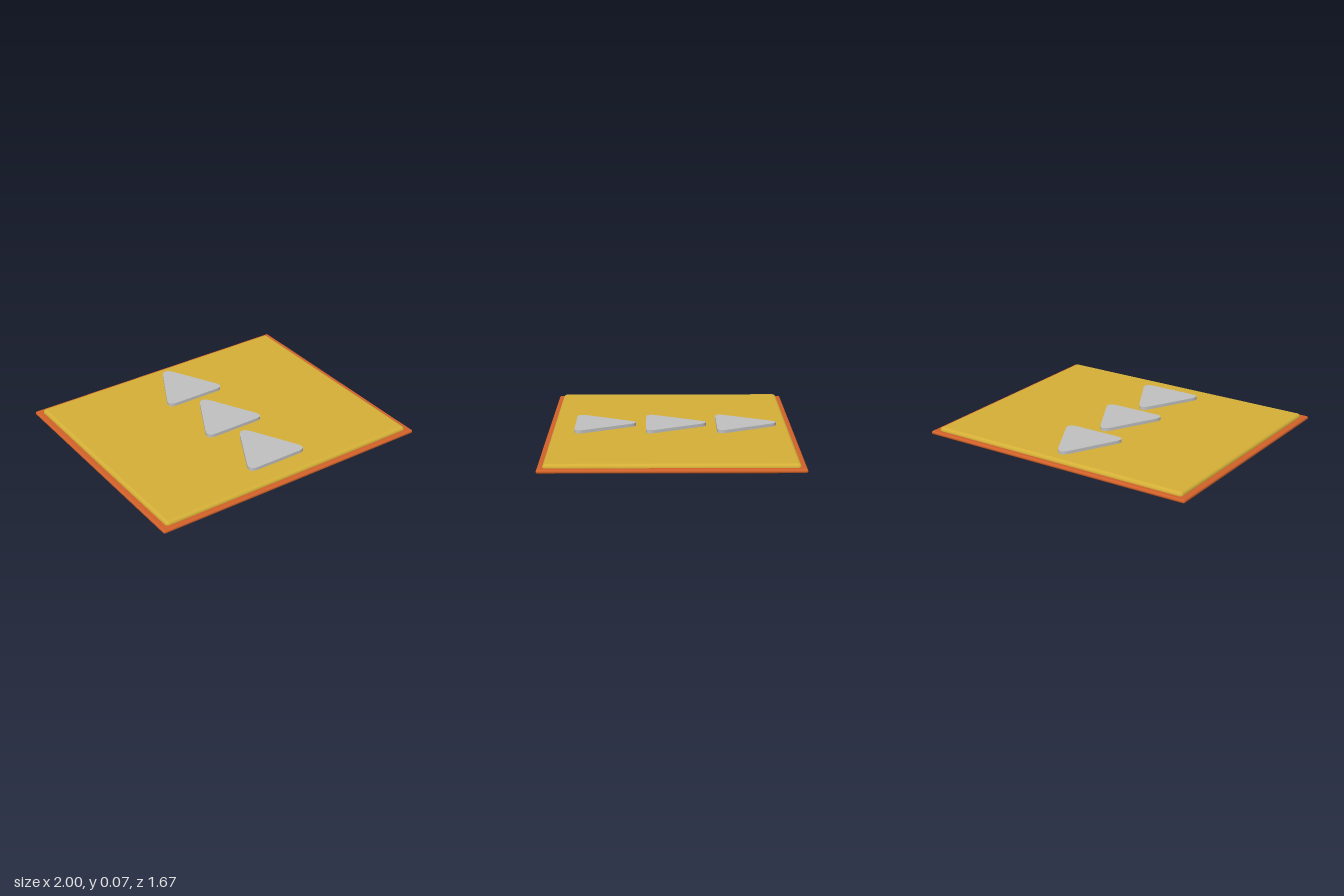
import * as THREE from 'three';
import { RoundedBoxGeometry } from 'three/addons/geometries/RoundedBoxGeometry.js';
import { toCreasedNormals } from 'three/addons/utils/BufferGeometryUtils.js';

const orange = new THREE.MeshStandardMaterial({ name: 'orange', color: 0xd2622a });
const gold = new THREE.MeshStandardMaterial({ name: 'gold', color: 0xd4af37 });
const silver = new THREE.MeshStandardMaterial({ name: 'silver', color: 0xc0c0c0 });

// Flat slab with rounded edges, resting at height y
function slab(name, w, h, d, radius, y, material) {
  const mesh = new THREE.Mesh(new RoundedBoxGeometry(w, h, d, 4, radius), material);
  mesh.name = name;
  mesh.position.y = y + h / 2;
  return mesh;
}

// Triangle with softened corners, its tip pointing to the back
function arrowGeometry(depth) {
  const s = new THREE.Shape();
  s.moveTo(-0.165, -0.17);
  s.lineTo(0.165, -0.17);
  s.quadraticCurveTo(0.241, -0.17, 0.201, -0.095);
  s.lineTo(0.048, 0.195);
  s.quadraticCurveTo(0, 0.285, -0.048, 0.195);
  s.lineTo(-0.201, -0.095);
  s.quadraticCurveTo(-0.241, -0.17, -0.165, -0.17);
  const geometry = new THREE.ExtrudeGeometry(s, { depth, bevelEnabled: false, curveSegments: 10 });
  geometry.rotateX(-Math.PI / 2);
  return toCreasedNormals(geometry, Math.PI / 4);
}

export function createModel() {
  const model = new THREE.Group();
  model.name = 'arrowPad';

  // Rim and raised pad, the pad reaching just below the rim
  model.add(slab('rim', 2, 0.025, 1.67, 0.012, 0.001, orange));
  model.add(slab('pad', 1.92, 0.05, 1.6, 0.024, 0, gold));

  // Three raised arrows in a row from back to front
  const geometry = arrowGeometry(0.032);
  for (let i = -1; i <= 1; i++) {
    const arrow = new THREE.Mesh(geometry, silver);
    arrow.name = ['backArrow', 'middleArrow', 'frontArrow'][i + 1];
    arrow.position.set(0, 0.04, i * 0.48);
    model.add(arrow);
  }
  return model;
}
